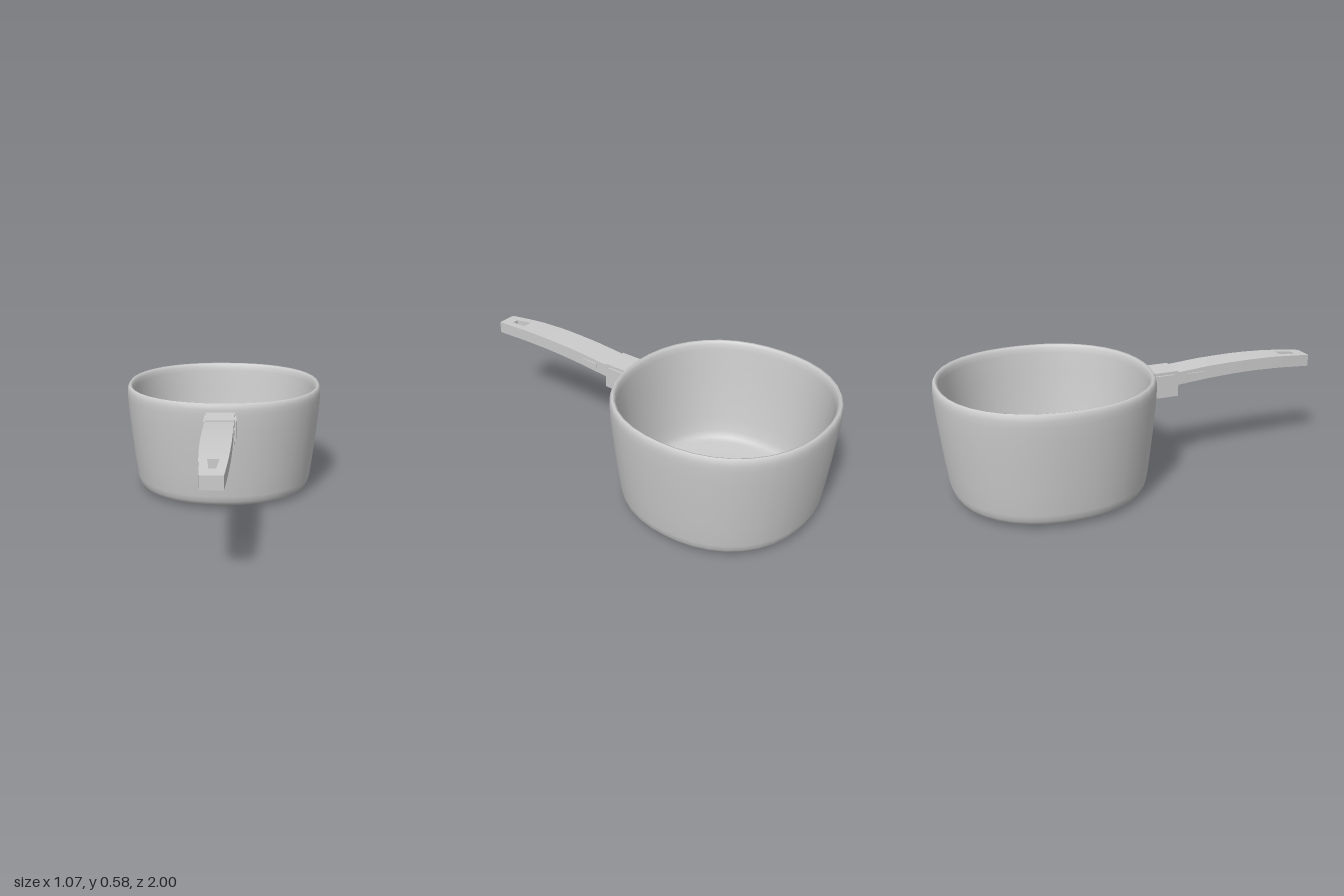
import * as THREE from 'three';
import { mergeVertices } from 'three/addons/utils/BufferGeometryUtils.js';

const material = new THREE.MeshStandardMaterial({ color: 0xcccccc });
const POT_Z = -0.467;

// Piecewise-linear lookup in a list of [z, value]
function lookup(table, z) {
  for (let i = 1; i < table.length; i++) {
    const [z0, a] = table[i - 1], [z1, b] = table[i];
    if (z <= z1) return a + (b - a) * (z - z0) / (z1 - z0);
  }
  return table[table.length - 1][1];
}

// Handle outline: half width, top and underside along z
const halfWidth = [[0.2, 0.072], [0.6, 0.071], [0.8, 0.065], [0.93, 0.056], [1, 0.05]];
const topLine = [[0.2, 0.53], [0.4, 0.545], [0.55, 0.549], [0.65, 0.549], [0.8, 0.544], [1, 0.525]];
const underLine = [[0.2, 0.463], [0.4, 0.479], [0.55, 0.486], [0.65, 0.486], [0.8, 0.481], [1, 0.463]];
const holeHalf = [[0.835, 0.026], [0.93, 0.016]];

function add(parent, name, geometry) {
  const mesh = new THREE.Mesh(geometry, material);
  mesh.name = name;
  parent.add(mesh);
  return mesh;
}

function box(parent, name, x, y, z) {
  const g = new THREE.BoxGeometry(x[1] - x[0], y[1] - y[0], z[1] - z[0]);
  g.translate((x[0] + x[1]) / 2, (y[0] + y[1]) / 2, (z[0] + z[1]) / 2);
  return add(parent, name, g);
}

// A box bent to follow the handle outline between z0 and z1
function handlePiece(parent, name, z0, z1, steps, xMin, xMax) {
  const g = new THREE.BoxGeometry(1, 1, 1, 1, 1, steps).toNonIndexed();
  const p = g.attributes.position;
  for (let i = 0; i < p.count; i++) {
    const z = z0 + (z1 - z0) * (p.getZ(i) + 0.5);
    const x = p.getX(i) < 0 ? xMin(z) : xMax(z);
    const y = lookup(p.getY(i) < 0 ? underLine : topLine, z);
    p.setXYZ(i, x, y, z);
  }
  g.computeVertexNormals();
  add(parent, name, g);
}

// Lathe whose round section is swelled slightly towards the diagonals
function squaredLathe(profile, segments, power) {
  let g = new THREE.LatheGeometry(profile, segments);
  const p = g.attributes.position;
  for (let i = 0; i < p.count; i++) {
    const x = p.getX(i), z = p.getZ(i), r = Math.hypot(x, z);
    if (r < 1e-6) continue;
    const k = (Math.abs(x / r) ** power + Math.abs(z / r) ** power) ** (-1 / power);
    p.setXYZ(i, x * k, p.getY(i), z * k);
  }
  g.deleteAttribute('normal');
  g.deleteAttribute('uv');
  g = mergeVertices(g, 1e-5);
  g.computeVertexNormals();
  return g;
}

export function createModel() {
  const model = new THREE.Group();
  model.name = 'saucepan';

  // Pot: outer wall, rounded rim, inner wall and floor
  const profile = [
    [0, 0], [0.2, 0.002], [0.4, 0.007], [0.445, 0.012], [0.47, 0.025], [0.482, 0.045], [0.489, 0.075],
    [0.503, 0.19], [0.518, 0.33], [0.529, 0.45], [0.533, 0.52], [0.533, 0.55],
    [0.53, 0.57], [0.522, 0.583], [0.512, 0.58], [0.505, 0.565], [0.499, 0.54],
    [0.488, 0.44], [0.468, 0.29], [0.445, 0.15], [0.43, 0.08], [0.415, 0.045], [0.39, 0.031], [0.2, 0.028], [0, 0.027],
  ].map(([r, y]) => new THREE.Vector2(r, y));
  const pot = add(model, 'pot', squaredLathe(profile, 40, 2.19));
  pot.position.z = POT_Z;

  // Bracket joining the handle to the pot
  const bracket = new THREE.Group();
  bracket.name = 'bracket';
  model.add(bracket);
  box(bracket, 'bracketBlock', [-0.072, 0.072], [0.405, 0.539], [0.045, 0.215]);

  // Handle with a tapered hanging hole
  const handle = new THREE.Group();
  handle.name = 'handle';
  model.add(handle);
  const w = z => lookup(halfWidth, z);
  const h = z => lookup(holeHalf, z);
  handlePiece(handle, 'grip', 0.2, 0.835, 10, z => -w(z), w);
  handlePiece(handle, 'holeSideRight', 0.835, 0.93, 2, z => -w(z), z => -h(z));
  handlePiece(handle, 'holeSideLeft', 0.835, 0.93, 2, h, w);
  handlePiece(handle, 'handleEnd', 0.93, 1, 2, z => -w(z), w);

  // Raised plates on both sides of the bracket and the grip
  for (const s of [-1, 1]) {
    const side = s < 0 ? 'Right' : 'Left';
    const span = (a, b) => (s < 0 ? [-b, -a] : [a, b]);
    box(bracket, 'bracketPlate' + side, span(0.065, 0.081), [0.425, 0.524], [0.045, 0.188]);
    box(handle, 'gripPlate' + side, span(0.06, 0.077), [0.49, 0.519], [0.272, 0.365]);
  }
  return model;
}
